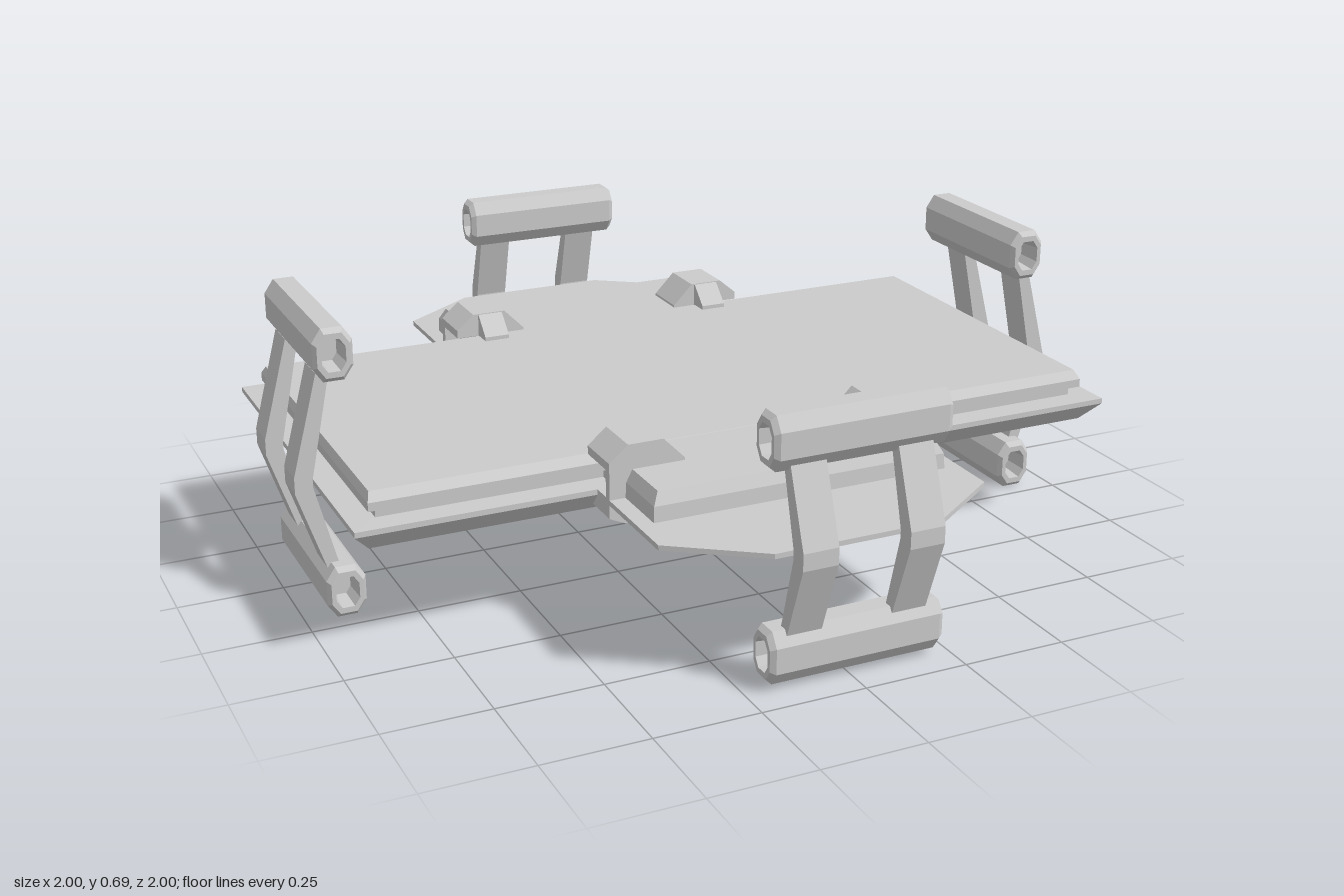
import * as THREE from 'three';

const material = new THREE.MeshStandardMaterial({ color: 0xcccccc, flatShading: true });

function addMesh(parent, name, geometry) {
  const mesh = new THREE.Mesh(geometry, material);
  mesh.name = name;
  parent.add(mesh);
  return mesh;
}

// Joins equal-length convex rings and caps both ends, with faceted normals
function loft(rings) {
  const pos = [];
  const tri = (a, b, c) => pos.push(...a, ...b, ...c);
  const n = rings[0].length;
  for (let i = 0; i < rings.length - 1; i++) {
    for (let j = 0; j < n; j++) {
      const k = (j + 1) % n;
      const [a, b, c, d] = [rings[i][j], rings[i][k], rings[i + 1][k], rings[i + 1][j]];
      tri(a, b, c);
      tri(a, c, d);
    }
  }
  const first = rings[0], last = rings[rings.length - 1];
  for (let j = 1; j < n - 1; j++) {
    tri(first[0], first[j + 1], first[j]);
    tri(last[0], last[j], last[j + 1]);
  }
  const g = new THREE.BufferGeometry();
  g.setAttribute('position', new THREE.Float32BufferAttribute(pos, 3));
  g.computeVertexNormals();
  return g;
}

const rect = (x, z, y) => [[-x, y, z], [x, y, z], [x, y, -z], [-x, y, -z]];
const octagon = (x, z, nx, nz, y) => [
  [-nx, y, nz], [nx, y, nz], [x, y, z], [x, y, -z],
  [nx, y, -nz], [-nx, y, -nz], [-x, y, -z], [-x, y, z],
];

function extrude(points, depth) {
  const shape = new THREE.Shape(points.map(([x, y]) => new THREE.Vector2(x, y)));
  return new THREE.ExtrudeGeometry(shape, { depth, bevelEnabled: false });
}

// Extrudes a (z, y) outline sideways, centred on x
function sideExtrude(points, width, x = 0) {
  return extrude(points, width).rotateY(-Math.PI / 2).translate(x + width / 2, 0, 0);
}

// Eight-sided bar along x with bevelled, hollow ends
function barGeometry() {
  const section = [[.046, .03], [.046, -.03], [.024, -.062], [-.024, -.062],
    [-.046, -.03], [-.046, .03], [-.024, .062], [.024, .062]];
  const ring = (x, s) => section.map(([z, y]) => [x, y * s, z * s]);
  return loft([ring(-.15, .5), ring(-.212, .6), ring(-.212, .82), ring(-.2, 1),
    ring(.2, 1), ring(.212, .82), ring(.212, .6), ring(.15, .5)]);
}

// Two bent struts joining an upper and a lower bar
function bracket(name, lowY, highY) {
  const group = new THREE.Group();
  group.name = name;
  for (const [part, y] of [['lowerBar', lowY], ['upperBar', highY]]) {
    addMesh(group, part, barGeometry()).position.set(0, y, .902);
  }
  const lo = lowY + .05, hi = highY - .05;
  const outline = [[.905, lo], [.935, lo], [.998, .305], [.998, .345],
    [.935, hi], [.905, hi], [.956, .335], [.956, .315]];
  for (const x of [-.128, .128]) {
    addMesh(group, 'strut', sideExtrude(outline, .084, x));
  }
  return group;
}

// Hooked clamp for the +x +z inner corner
function clamp() {
  const group = new THREE.Group();
  group.name = 'cornerClamp';
  const full = [[.4, .29], [.4, .42], [.355, .458], [.27, .458], [.218, .405],
    [.218, .29], [.245, .272], [.36, .272]];
  const notched = [[.4, .29], [.4, .335], [.33, .335], [.33, .4], [.4, .4], [.4, .42],
    [.355, .458], [.27, .458], [.218, .405], [.218, .29], [.245, .272], [.36, .272]];
  addMesh(group, 'clampBody', extrude(notched, .1).translate(0, 0, .435));
  addMesh(group, 'clampCheek', extrude(full, .02).translate(0, 0, .535));
  addMesh(group, 'upperTab', sideExtrude([[.44, .39], [.44, .457], [.43, .455], [.383, .41], [.383, .39]], .064, .31));
  addMesh(group, 'lowerTab', sideExtrude([[.44, .272], [.44, .31], [.385, .31], [.385, .295]], .064, .31));
  return group;
}

// Mirrors a group's geometry across x and/or z, keeping faces outward
function mirrored(source, sx, sz) {
  const copy = source.clone();
  copy.scale.set(sx, 1, sz);
  return copy;
}

export function createModel() {
  const model = new THREE.Group();
  model.name = 'crossPlatform';

  // Long deck: recessed underside, sloped flange, groove and raised slab
  addMesh(model, 'longDeck', loft([
    rect(.865, .405, .302), rect(.87, .41, .276), rect(.915, .45, .276),
    rect(.955, .488, .322), rect(.955, .488, .335),
    rect(.892, .432, .337), rect(.892, .432, .355), rect(.912, .45, .36),
    rect(.912, .45, .38), rect(.904, .432, .4),
  ]));

  // Cross arm: thin tapered plate and raised slab
  addMesh(model, 'armPlate', loft([
    octagon(.35, .72, .2, .8, .307),
    octagon(.4, .81, .2, .95, .322),
    octagon(.4, .81, .2, .95, .334),
  ]));
  addMesh(model, 'armSlab', loft([
    rect(.362, .705, .33), rect(.36, .702, .37), rect(.345, .687, .399),
  ]));

  // Small gussets under the arm, where the struts meet it
  const gusset = [[.79, .325], [.79, .312], [.955, .3], [.97, .325]];
  for (const side of [1, -1]) {
    for (const x of [-.12, .138]) {
      const g = addMesh(model, 'gusset', sideExtrude(gusset, .03, x * side));
      g.rotation.y = side > 0 ? 0 : Math.PI;
    }
  }

  // Four corner clamps
  const hook = clamp();
  for (const sx of [1, -1]) {
    for (const sz of [1, -1]) model.add(mirrored(hook, sx, sz));
  }

  // Four brackets; those on the short arm sit closer together in height
  const names = ['frontBracket', 'leftBracket', 'backBracket', 'rightBracket'];
  names.forEach((name, i) => {
    const long = i % 2 === 1;
    const b = bracket(name, long ? .064 : .08, long ? .634 : .567);
    b.rotation.y = i * Math.PI / 2;
    if (!long) b.position.x = .01;
    model.add(b);
  });

  return model;
}
